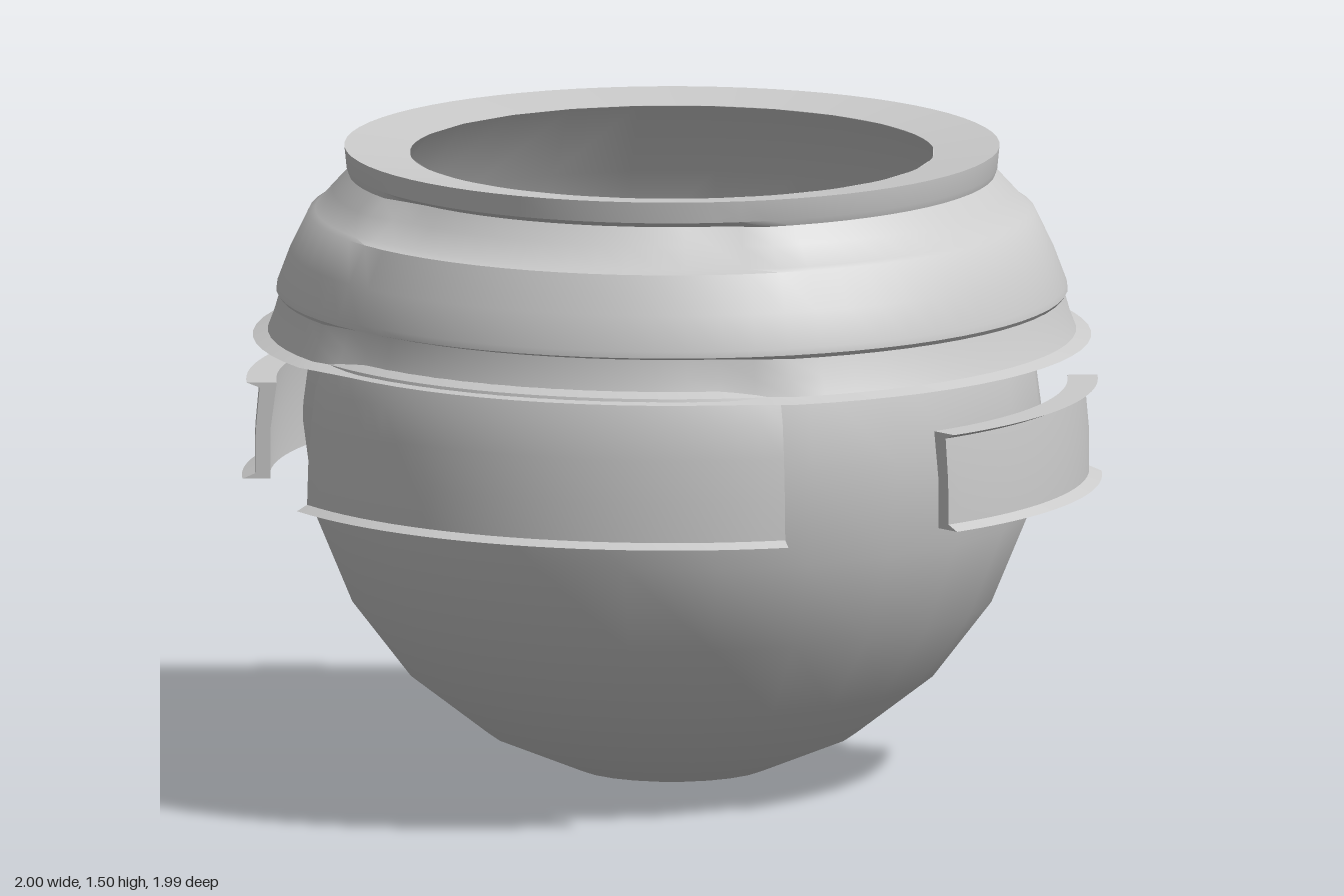
import * as THREE from 'three';
import { toCreasedNormals } from 'three/addons/utils/BufferGeometryUtils.js';

const material = new THREE.MeshStandardMaterial({ color: 0xcccccc, side: THREE.DoubleSide });
const toPoints = (list) => list.map(([r, y]) => new THREE.Vector2(r, y));

function addMesh(parent, geometry, name) {
  const mesh = new THREE.Mesh(geometry, material);
  mesh.name = name;
  parent.add(mesh);
  return mesh;
}

// Curved plate: a closed [radius, height] section swept around y, with capped ends
function curvedPlate(section, angle, halfAngle, name) {
  const plate = new THREE.Group();
  plate.name = name;
  const closed = toPoints([...section, section[0]]);
  const sweep = new THREE.LatheGeometry(closed, 24, angle - halfAngle, halfAngle * 2);
  addMesh(plate, toCreasedNormals(sweep, 0.7), name + 'Shell');
  for (const side of [-1, 1]) {
    const cap = addMesh(plate, new THREE.ShapeGeometry(new THREE.Shape(toPoints(section))), name + 'End');
    cap.rotation.y = angle + side * halfAngle - Math.PI / 2;
  }
  return plate;
}

export function createModel() {
  const model = new THREE.Group();
  model.name = 'roundPot';

  // Bowl: sphere open at the top
  const bowl = new THREE.SphereGeometry(0.865, 24, 9, 0, Math.PI * 2, Math.PI / 4, Math.PI * 0.75);
  bowl.translate(0, 0.865, 0);
  addMesh(model, bowl, 'bowl');

  // Collar: [radius, height, recess at the front]
  const collar = [
    [0.85, 1.05, 0], [0.975, 1.048, 0.03], [0.94, 1.06, 0.035], [0.925, 1.1, 0.035],
    [0.912, 1.145, 0.03], [0.92, 1.155, 0], [0.918, 1.17, 0], [0.888, 1.25, 0],
    [0.845, 1.338, 0], [0.83, 1.345, 0.02], [0.79, 1.39, 0.035], [0.752, 1.43, 0.03],
    [0.757, 1.445, 0], [0.762, 1.495, 0], [0.61, 1.477, 0],
  ];
  const ring = new THREE.LatheGeometry(toPoints(collar), 72, Math.PI, Math.PI * 2);
  const pos = ring.attributes.position;
  for (let i = 0; i < pos.count; i++) {
    const x = pos.getX(i), z = pos.getZ(i);
    const fade = 1 - THREE.MathUtils.smoothstep(Math.abs(Math.atan2(x, z)), 0.55, 0.7);
    const scale = 1 - (collar[i % collar.length][2] * fade) / Math.hypot(x, z);
    pos.setX(i, x * scale);
    pos.setZ(i, z * scale);
  }
  addMesh(model, toCreasedNormals(ring, 0.8), 'collar');

  // Front and back panels hanging from the collar
  const panelSection = [
    [0.935, 0.715], [0.995, 0.715], [0.968, 0.728], [0.965, 0.82], [0.957, 0.92],
    [0.946, 1.0], [0.925, 1.06], [0.885, 1.08], [0.885, 1.05], [0.92, 0.98], [0.935, 0.85],
  ];
  model.add(curvedPlate(panelSection, 0, 0.672, 'frontPanel'));
  const backSection = panelSection.map(([r, y]) => (y === 1.06 ? [0.935, 1.07] : [r, y]));
  model.add(curvedPlate(backSection, Math.PI, 0.672, 'backPanel'));

  // Side plates standing clear of the bowl
  const sideSection = [
    [0.935, 0.715], [1.0, 0.715], [0.97, 0.728], [0.969, 0.83], [0.96, 0.93],
    [0.99, 0.942], [0.92, 0.942], [0.935, 0.83],
  ];
  model.add(curvedPlate(sideSection, Math.PI / 2, 0.45, 'leftPlate'));
  model.add(curvedPlate(sideSection, -Math.PI / 2, 0.45, 'rightPlate'));

  return model;
}
